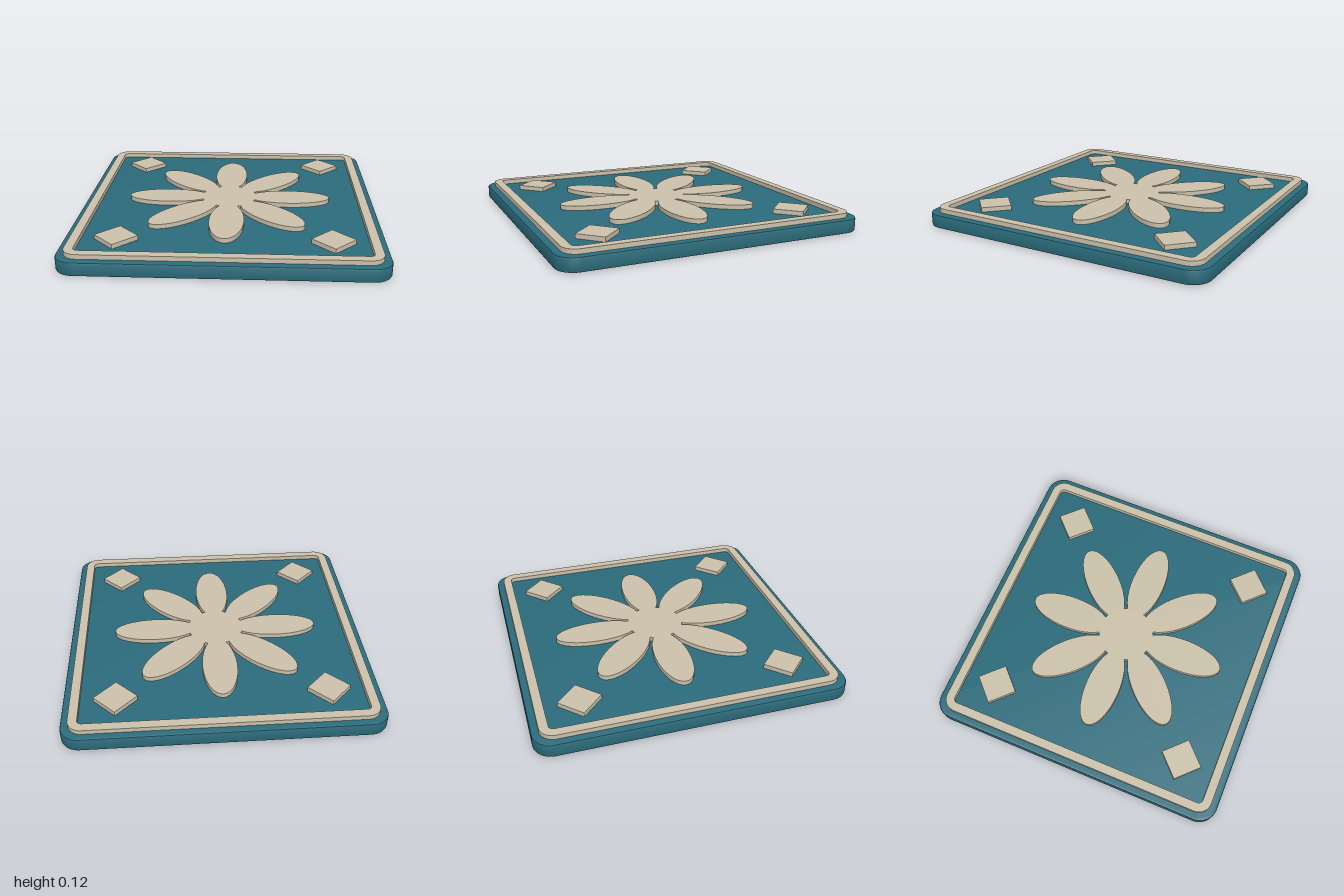
import * as THREE from 'three';
import { toCreasedNormals } from 'three/addons/utils/BufferGeometryUtils.js';

const BASE_TOP = 0.09;
const RELIEF = 0.03;

// Square outline with rounded corners, centred on the origin
function roundedSquare(half, r, Type = THREE.Shape) {
  const s = new Type();
  const c = half - r;
  s.moveTo(c, -half);
  s.absarc(c, -c, r, -Math.PI / 2, 0);
  s.absarc(c, c, r, 0, Math.PI / 2);
  s.absarc(-c, c, r, Math.PI / 2, Math.PI);
  s.absarc(-c, -c, r, Math.PI, Math.PI * 1.5);
  s.closePath();
  return s;
}

// Extrude a flat outline upwards, keeping crisp edges and smooth curves
function slab(shape, depth, bevel = 0) {
  const geometry = new THREE.ExtrudeGeometry(shape, {
    depth: depth - 2 * bevel,
    curveSegments: 16,
    bevelEnabled: bevel > 0,
    bevelThickness: bevel,
    bevelSize: bevel,
    bevelOffset: -bevel,
    bevelSegments: 2,
  });
  geometry.translate(0, 0, bevel);
  geometry.rotateX(-Math.PI / 2);
  return toCreasedNormals(geometry, 0.6);
}

export function createModel() {
  const teal = new THREE.MeshStandardMaterial({ name: 'tealGlaze', color: 0x2b6b7b });
  const cream = new THREE.MeshStandardMaterial({ name: 'creamRelief', color: 0xcac0a9 });
  const model = new THREE.Group();
  model.name = 'decorativeTile';

  const add = (name, geometry, material, parent = model) => {
    const mesh = new THREE.Mesh(geometry, material);
    mesh.name = name;
    parent.add(mesh);
    return mesh;
  };

  // Tile body with softened edges
  add('tileBase', slab(roundedSquare(1, 0.12), BASE_TOP, 0.01), teal);

  // Raised border
  const border = roundedSquare(0.953, 0.09);
  border.holes.push(roundedSquare(0.895, 0.03, THREE.Path));
  add('borderFrame', slab(border, RELIEF), cream).position.y = BASE_TOP;

  // Eight-petalled flower around a round centre
  const flower = new THREE.Group();
  flower.name = 'flower';
  flower.position.y = BASE_TOP;
  model.add(flower);
  const disc = new THREE.CylinderGeometry(0.19, 0.19, RELIEF, 48);
  disc.translate(0, RELIEF / 2, 0);
  add('flowerCentre', disc, cream, flower);
  const petalShape = new THREE.Shape();
  petalShape.absellipse(0.417, 0, 0.28, 0.115, 0, Math.PI * 2);
  const petal = slab(petalShape, RELIEF);
  for (let i = 0; i < 8; i++) {
    add('petal', petal, cream, flower).rotation.y = (i * Math.PI) / 4;
  }

  // Corner diamonds
  const d = 0.138;
  const diamond = slab(new THREE.Shape([
    new THREE.Vector2(d, 0), new THREE.Vector2(0, d),
    new THREE.Vector2(-d, 0), new THREE.Vector2(0, -d),
  ]), RELIEF);
  for (const x of [-1, 1]) {
    for (const z of [-1, 1]) {
      add('cornerDiamond', diamond, cream).position.set(x * 0.673, BASE_TOP, z * 0.673);
    }
  }

  return model;
}
